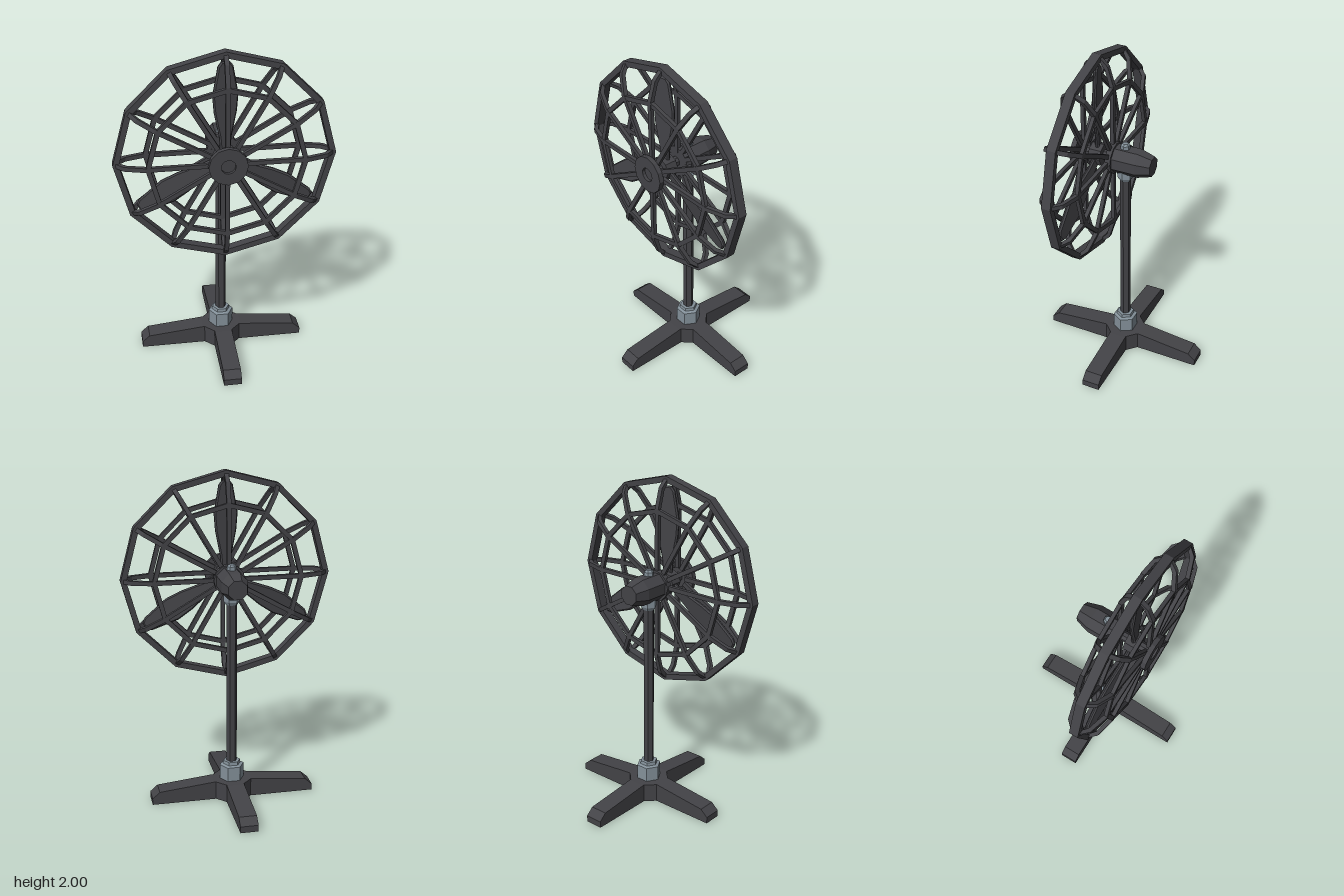
import * as THREE from 'three';

const dark = new THREE.MeshStandardMaterial({ color: 0x434347 });
dark.name = 'charcoal';
const metal = new THREE.MeshStandardMaterial({ color: 0x84919a });
metal.name = 'greyMetal';

// Faceted mesh: every face gets its own normal
function add(parent, name, geometry, material = dark) {
  const flat = geometry.index ? geometry.toNonIndexed() : geometry;
  flat.computeVertexNormals();
  const mesh = new THREE.Mesh(flat, material);
  mesh.name = name;
  parent.add(mesh);
  return mesh;
}

const toShape = (pts) => new THREE.Shape(pts.map(([x, y]) => new THREE.Vector2(x, y)));

// Regular polygon outline with a corner on the +x axis
function polygon(r, sides) {
  return Array.from({ length: sides }, (_, i) => {
    const a = (i / sides) * Math.PI * 2;
    return [r * Math.cos(a), r * Math.sin(a)];
  });
}

// Shape extruded symmetrically about z = 0
function slab(shape, depth) {
  return new THREE.ExtrudeGeometry(shape, { depth, bevelEnabled: false }).translate(0, 0, -depth / 2);
}

function polyRing(outer, inner, depth, sides = 12) {
  const shape = toShape(polygon(outer, sides));
  shape.holes.push(toShape(polygon(inner, sides)));
  return slab(shape, depth);
}

// Faceted turned part; profile is [radius, height] from bottom to top
function turned(profile, sides, turn = 0) {
  return new THREE.LatheGeometry(profile.map(([r, y]) => new THREE.Vector2(r, y)), sides).rotateY(turn);
}

function buildBase(model) {
  const base = new THREE.Group();
  base.name = 'base';
  const w = 0.054;
  const c = 0.11;
  const centre = toShape([[c, -w], [c, w], [w, c], [-w, c], [-c, w], [-c, -w], [-w, -c], [w, -c]]);
  add(base, 'baseCentre', slab(centre, 0.115).rotateX(-Math.PI / 2).translate(0, 0.0575, 0));
  const leg = toShape([[0, 0], [0.505, 0], [0.505, 0.04], [0.46, 0.08], [0.12, 0.115], [0, 0.115]]);
  for (let i = 0; i < 4; i++) {
    add(base, 'leg', slab(leg, 2 * w).rotateY((i * Math.PI) / 2));
  }
  model.add(base);
}

function buildStand(model) {
  const hex = Math.PI / 6 * 3;
  add(model, 'poleCollar', turned([[0, 0.11], [0.075, 0.11], [0.075, 0.205], [0.055, 0.212],
    [0.052, 0.232], [0, 0.232]], 6, hex), metal);
  add(model, 'pole', turned([[0, 0.2], [0.032, 0.2], [0.032, 1.26], [0, 1.26]], 6, hex));
  add(model, 'neckClamp', turned([[0, 1.235], [0.037, 1.235], [0.048, 1.255], [0.048, 1.31], [0, 1.31]], 6, hex), metal);
  add(model, 'topKnob', turned([[0, 1.43], [0.028, 1.43], [0.028, 1.465], [0.018, 1.477], [0, 1.477]], 6, hex), metal);
}

function buildMotor(model) {
  const motor = new THREE.Group();
  motor.name = 'motor';
  motor.position.y = 1.365;
  const along = (profile, sides) => turned(profile, sides, Math.PI / sides).rotateX(Math.PI / 2);
  add(motor, 'motorHousing', along([[0, -0.175], [0.06, -0.175], [0.085, -0.09], [0.085, 0.055], [0, 0.055]], 8));
  add(motor, 'shaft', along([[0, 0.05], [0.03, 0.05], [0.03, 0.28], [0, 0.28]], 8));
  model.add(motor);
}

function buildFan(model) {
  const fan = new THREE.Group();
  fan.name = 'fan';
  fan.position.set(0, 1.365, 0.1725);

  // Guard cage: outer rim, then mirrored front and back grilles
  add(fan, 'outerRim', polyRing(0.635, 0.6, 0.055));
  const spokeProfile = [[0.06, 0.105], [0.46, 0.105], [0.575, 0.071], [0.622, 0.022],
    [0.602, 0.015], [0.558, 0.052], [0.45, 0.082], [0.06, 0.082]];
  for (const side of [1, -1]) {
    const grille = new THREE.Group();
    grille.name = side > 0 ? 'frontGrille' : 'backGrille';
    const spoke = toShape(spokeProfile.map(([r, z]) => [r, side * z]));
    for (let i = 0; i < 12; i++) {
      add(grille, 'spoke', slab(spoke, 0.026).rotateX(Math.PI / 2).rotateZ((i * Math.PI) / 6));
    }
    add(grille, 'middleRing', polyRing(0.458, 0.43, 0.022)).position.z = side * 0.093;
    fan.add(grille);
  }
  add(fan, 'frontHub', polyRing(0.112, 0.042, 0.03)).position.z = 0.117;
  add(fan, 'frontHubCap', slab(toShape(polygon(0.045, 12)), 0.012)).position.z = 0.108;
  add(fan, 'backHub', slab(toShape(polygon(0.095, 12)), 0.035)).position.z = -0.1;

  // Three slightly pitched blades on a rotor hub
  add(fan, 'rotorHub', slab(toShape(polygon(0.068, 8)), 0.075));
  const blade = toShape([[-0.022, 0.03], [0.022, 0.03], [0.03, 0.13], [0.06, 0.28], [0.068, 0.38],
    [0.038, 0.545], [0.02, 0.568], [-0.02, 0.568], [-0.038, 0.545], [-0.068, 0.38], [-0.06, 0.28], [-0.03, 0.13]]);
  for (let i = 0; i < 3; i++) {
    const geometry = new THREE.ExtrudeGeometry(blade, {
      depth: 0.008, bevelSize: 0.008, bevelOffset: -0.002, bevelThickness: 0.008, bevelSegments: 1,
    });
    geometry.translate(0, 0, -0.004).rotateY(0.16).rotateZ((i * Math.PI * 2) / 3);
    add(fan, 'blade', geometry);
  }
  model.add(fan);
}

export function createModel() {
  const model = new THREE.Group();
  model.name = 'pedestalFan';
  buildBase(model);
  buildStand(model);
  buildMotor(model);
  buildFan(model);
  return model;
}
